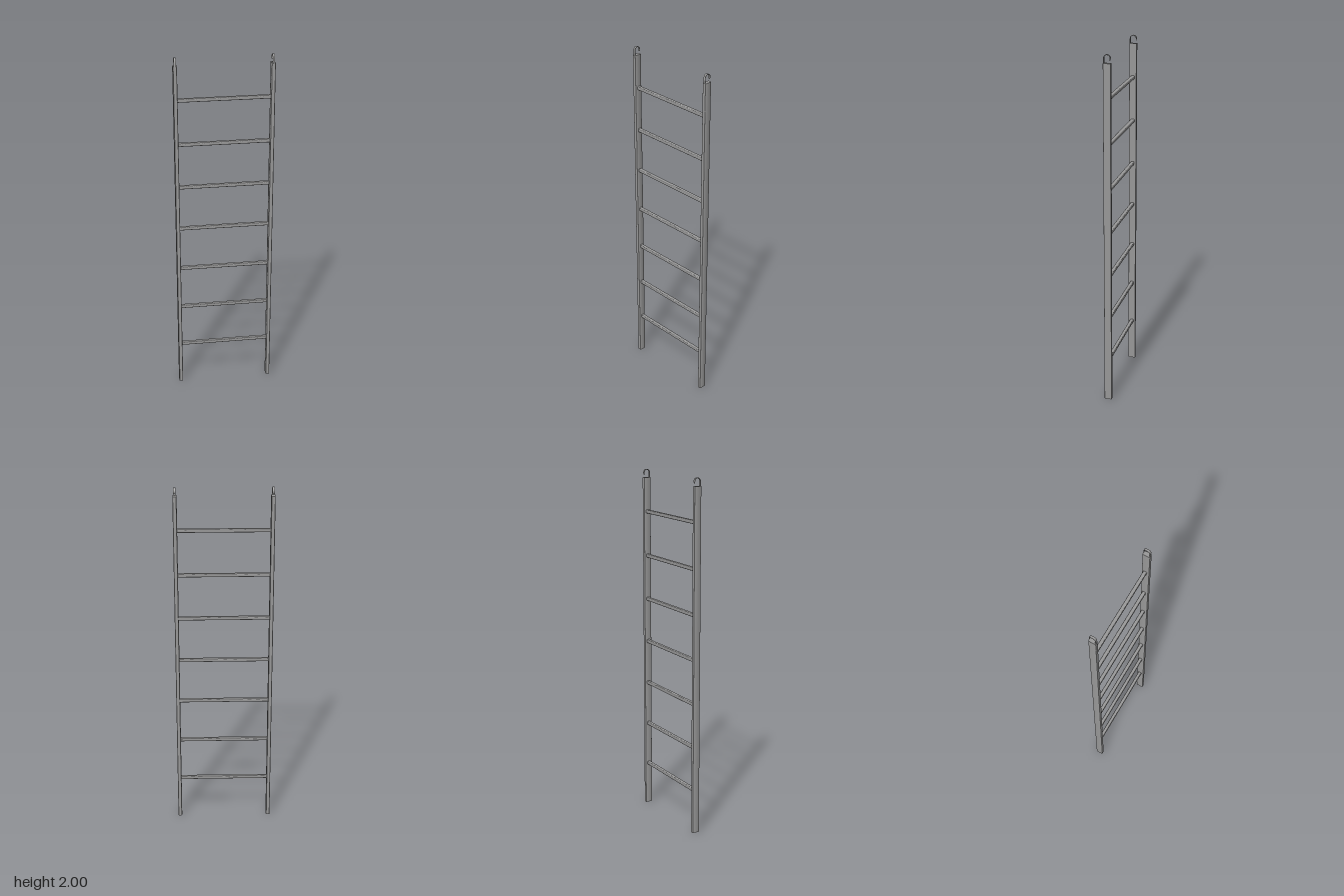
import * as THREE from 'three';
import { toCreasedNormals } from 'three/addons/utils/BufferGeometryUtils.js';

const material = new THREE.MeshStandardMaterial({ color: 0x999999 });

// Extrude a shape by depth, centred on its own depth axis
function prism(shape, depth) {
  const geo = new THREE.ExtrudeGeometry(shape, { depth, bevelEnabled: false, curveSegments: 6 });
  geo.translate(0, 0, -depth / 2);
  return toCreasedNormals(geo, 0.6);
}

function part(name, geo, x, y, z) {
  const mesh = new THREE.Mesh(geo, material);
  mesh.name = name;
  mesh.position.set(x, y, z);
  return mesh;
}

// Bar cross-section: rectangle with rounded corners
function barShape(w, d, r) {
  const s = new THREE.Shape();
  const x = w / 2 - r, y = d / 2 - r;
  s.absarc(x, y, r, 0, Math.PI / 2);
  s.absarc(-x, y, r, Math.PI / 2, Math.PI);
  s.absarc(-x, -y, r, Math.PI, Math.PI * 1.5);
  s.absarc(x, -y, r, Math.PI * 1.5, Math.PI * 2);
  s.closePath();
  return s;
}

// Hook side outline: long leg, half-circle, short tip
function hookShape(r, t, leg, tip) {
  const s = new THREE.Shape();
  s.moveTo(r, -tip);
  s.absarc(0, 0, r, 0, Math.PI);
  s.lineTo(-r, -leg);
  s.lineTo(-r + t, -leg);
  s.absarc(0, 0, r - t, Math.PI, 0, true);
  s.lineTo(r - t, -tip);
  s.closePath();
  return s;
}

export function createModel() {
  const model = new THREE.Group();
  model.name = 'ladder';
  const railX = 0.262, railHeight = 1.954;

  const railGeo = prism(barShape(0.022, 0.042, 0.005), railHeight);
  railGeo.rotateX(-Math.PI / 2);
  const hookGeo = prism(hookShape(0.019, 0.003, 0.045, 0.012), 0.012);
  hookGeo.rotateY(Math.PI / 2);
  const rungGeo = prism(barShape(0.02, 0.02, 0.005), 0.54);
  rungGeo.rotateY(Math.PI / 2);

  // Side rails with a hanging hook on top of each
  for (const side of [1, -1]) {
    const label = side > 0 ? 'left' : 'right';
    model.add(part(label + 'Rail', railGeo, side * railX, railHeight / 2, 0));
    model.add(part(label + 'Hook', hookGeo, side * railX, 1.981, 0));
  }

  // Evenly spaced rungs
  for (let i = 1; i <= 7; i++) {
    model.add(part('rung' + i, rungGeo, 0, i * 0.252, -0.001));
  }
  return model;
}
